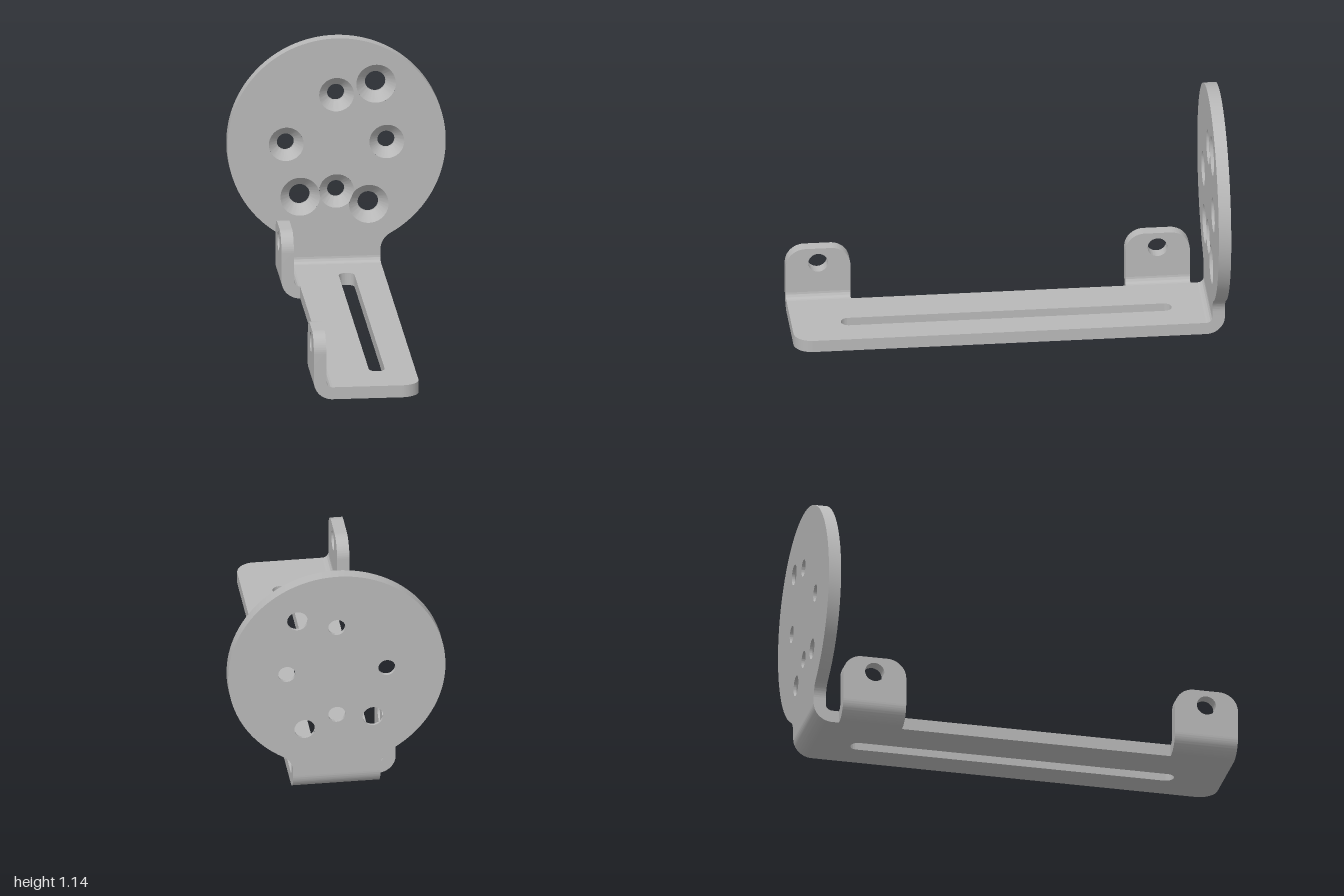
import * as THREE from 'three';
import { toCreasedNormals } from 'three/addons/utils/BufferGeometryUtils.js';

const T = 0.058;            // sheet thickness
const RI = 0.029;           // inner bend radius
const RO = RI + T;          // outer bend radius
const W = 0.204;            // half width of the base strip
const DISC = { y: 0.635, r: 0.508 };
const FRONT = -1 + T, BACK = -1;

// countersunk holes: the first three overlap, left to right
const HOLES = [
  { x: -0.169, y: 0.38, r: 0.048, R: 0.092 },
  { x: 0, y: 0.403, r: 0.04, R: 0.081 },
  { x: 0.15, y: 0.336, r: 0.048, R: 0.092 },
  { x: -0.234, y: 0.636, r: 0.04, R: 0.081 },
  { x: 0.234, y: 0.636, r: 0.04, R: 0.081 },
  { x: 0, y: 0.87, r: 0.04, R: 0.081 },
  { x: 0.184, y: 0.918, r: 0.048, R: 0.092 },
];

function extrude(shape, depth) {
  const geo = new THREE.ExtrudeGeometry(shape, { depth, bevelEnabled: false, curveSegments: 24 });
  return toCreasedNormals(geo, 0.6);
}

// closed band of quads between two loops of points
function ribbon(a, b) {
  const n = a.length, index = [];
  for (let i = 0; i < n; i++) {
    const j = (i + 1) % n;
    index.push(i, j, n + j, i, n + j, n + i);
  }
  const geo = new THREE.BufferGeometry().setFromPoints([...a, ...b]);
  geo.setIndex(index);
  return toCreasedNormals(geo, 0.6);
}

function circle(x, y, r) {
  return new THREE.Path().absarc(x, y, r, 0, Math.PI * 2, false);
}

// quarter bend of the sheet, centred on its axis, extruded along z
function bend(length) {
  const s = new THREE.Shape();
  s.absarc(0, 0, RO, Math.PI, Math.PI * 1.5, false);
  s.absarc(0, 0, RI, Math.PI * 1.5, Math.PI, true);
  return extrude(s, length);
}

// disc joined to the neck with fillets
function discShape() {
  const f = 0.09, cx = W + f;
  const cy = DISC.y - Math.sqrt((DISC.r + f) ** 2 - cx * cx);
  const a = Math.atan2(DISC.y - cy, -cx);
  const s = new THREE.Shape();
  s.moveTo(-W, RO);
  s.lineTo(W, RO);
  s.absarc(cx, cy, f, Math.PI, a, true);
  s.absarc(0, DISC.y, DISC.r, a - Math.PI, 2 * Math.PI - a, false);
  s.absarc(-cx, cy, f, Math.PI - a, 0, true);
  return s;
}

// angles on circle p where circle q crosses it
function crossing(p, q) {
  const dx = q.x - p.x, dy = q.y - p.y, L = Math.hypot(dx, dy);
  const mid = Math.atan2(dy, dx);
  const half = Math.acos((L * L + p.R ** 2 - q.R ** 2) / (2 * L * p.R));
  return [mid - half, mid + half];
}

// joined outline of the three overlapping countersinks
function joinedHoles([a, b, c]) {
  const ab = crossing(a, b), ba = crossing(b, a), bc = crossing(b, c), cb = crossing(c, b);
  const p = new THREE.Path();
  p.absarc(a.x, a.y, a.R, ab[1], ab[0], false);
  p.absarc(b.x, b.y, b.R, ba[1], bc[0], false);
  p.absarc(c.x, c.y, c.R, cb[1], cb[0], false);
  p.absarc(b.x, b.y, b.R, bc[1], ba[0], false);
  return p;
}

// 45 degree cone and straight bore, trimmed where neighbouring cones meet
function holeWalls(h) {
  const rim = [], throat = [], exit = [], N = 72;
  for (let i = 0; i < N; i++) {
    const t = (i / N) * Math.PI * 2, ux = Math.cos(t), uy = Math.sin(t);
    let d = h.R;
    for (const o of HOLES) {
      if (o === h) continue;
      const vx = o.x - h.x, vy = o.y - h.y, k = o.R - h.R;
      const m = k + ux * vx + uy * vy;
      if (m > 0) d = Math.min(d, (vx * vx + vy * vy - k * k) / (2 * m));
    }
    const at = (r, z) => new THREE.Vector3(h.x + ux * r, h.y + uy * r, z);
    rim.push(at(d, FRONT - (h.R - d)));
    throat.push(at(h.r, FRONT - (h.R - h.r)));
    exit.push(at(h.r, BACK));
  }
  return [ribbon(rim, throat), ribbon(throat, exit)];
}

export function createModel() {
  const model = new THREE.Group();
  model.name = 'mountingBracket';
  const steel = new THREE.MeshStandardMaterial({ color: 0xb8b8b8 });
  steel.name = 'grey steel';

  function add(parent, name, geo, x = 0, y = 0, z = 0) {
    const mesh = new THREE.Mesh(geo, steel);
    mesh.name = name;
    mesh.position.set(x, y, z);
    parent.add(mesh);
    return mesh;
  }

  // slotted base strip with one rounded front corner
  const base = new THREE.Shape();
  const zBack = -1 + RO, c = 0.085;
  base.moveTo(-W, -1);
  base.lineTo(W - c, -1);
  base.absarc(W - c, -1 + c, c, -Math.PI / 2, 0, false);
  base.lineTo(W, -zBack);
  base.lineTo(-W, -zBack);
  base.closePath();
  const slot = new THREE.Path(), sr = 0.037, sx = 0.027, sz = 0.733;
  slot.absarc(sx, sz, sr, 0, Math.PI, false);
  slot.absarc(sx, -sz, sr, Math.PI, Math.PI * 2, false);
  slot.closePath();
  base.holes.push(slot);
  add(model, 'baseStrip', extrude(base, T).rotateX(-Math.PI / 2));

  // bend from the base up to the disc
  add(model, 'discBend', bend(2 * W).rotateY(-Math.PI / 2), W, RO, zBack);

  // upright disc plate
  const plate = new THREE.Group();
  plate.name = 'discPlate';
  model.add(plate);
  const front = discShape();
  front.holes.push(joinedHoles(HOLES.slice(0, 3)));
  for (const h of HOLES.slice(3)) front.holes.push(circle(h.x, h.y, h.R));
  add(plate, 'discFront', new THREE.ShapeGeometry(front, 48), 0, 0, FRONT);
  const back = discShape();
  for (const h of HOLES) back.holes.push(circle(-h.x, h.y, h.r));
  add(plate, 'discBack', new THREE.ShapeGeometry(back, 48).rotateY(Math.PI), 0, 0, BACK);
  const edge = discShape().getPoints(48)
    .filter((p, i, all) => p.distanceTo(all[(i + 1) % all.length]) > 1e-5);
  const loop = (z) => edge.map((p) => new THREE.Vector3(p.x, p.y, z));
  add(plate, 'discEdge', ribbon(loop(BACK), loop(FRONT)));
  for (const h of HOLES) {
    const [cone, bore] = holeWalls(h);
    add(plate, 'countersink', cone);
    add(plate, 'bore', bore);
  }

  // two side tabs with a hole each
  const len = 0.3, top = 0.31, r = 0.09;
  const tab = new THREE.Shape();
  tab.moveTo(0, RO);
  tab.lineTo(len, RO);
  tab.absarc(len - r, top - r, r, 0, Math.PI / 2, false);
  tab.absarc(r, top - r, r, Math.PI / 2, Math.PI, false);
  tab.closePath();
  tab.holes.push(circle(len / 2, 0.236, 0.046));
  for (const [name, z] of [['frontTab', 0.7], ['rearTab', -0.88]]) {
    const group = new THREE.Group();
    group.name = name;
    model.add(group);
    add(group, 'tabBend', bend(len), -W, RO, z);
    add(group, 'tabPlate', extrude(tab, T).rotateY(-Math.PI / 2), -W - RI, 0, z);
  }
  return model;
}
